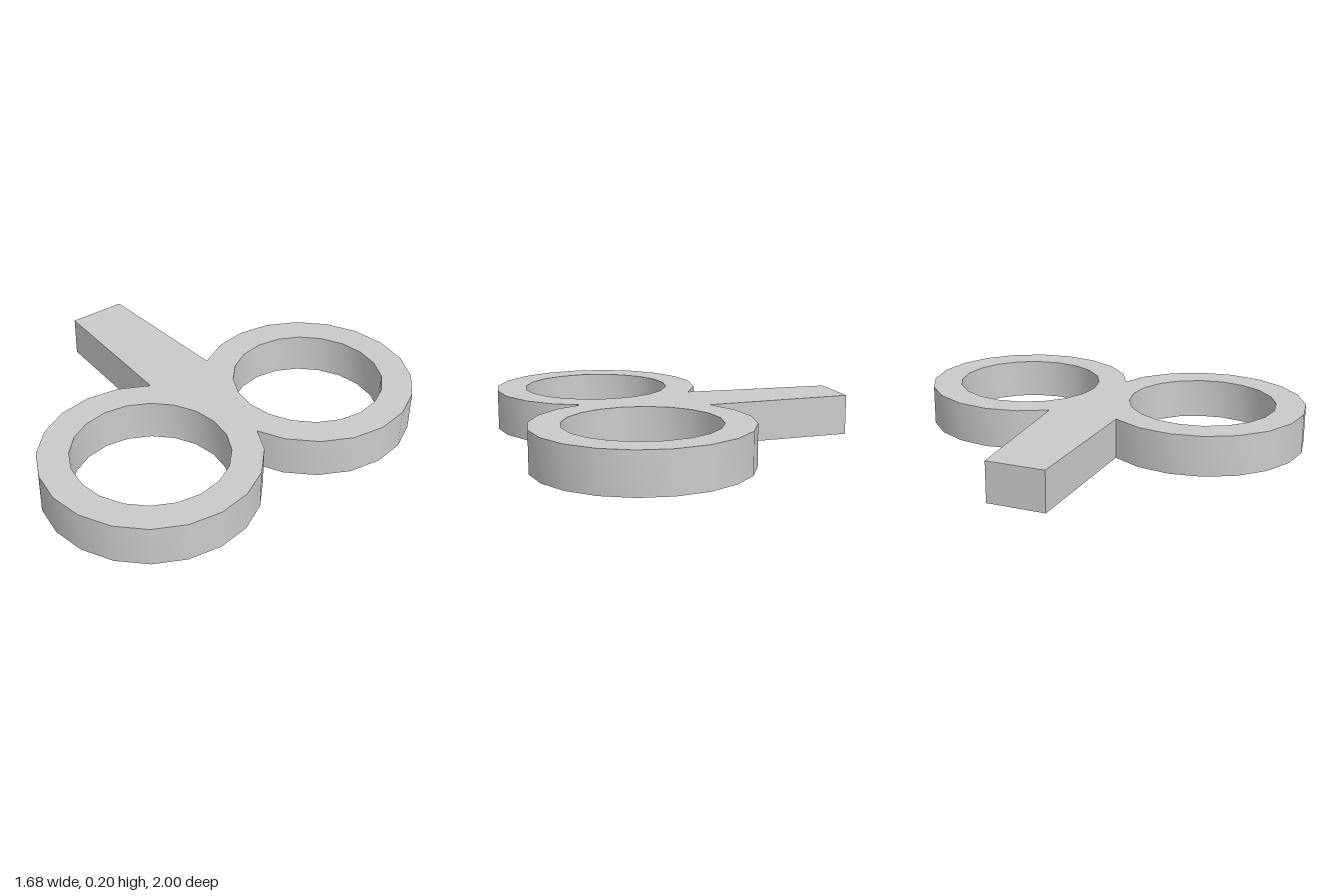
import * as THREE from 'three';
import { toCreasedNormals } from 'three/addons/utils/BufferGeometryUtils.js';

const SIDES = 20, HEIGHT = 0.2;
const CX = 0.32, CZ = 0.482;          // ring centres at (CX, +-CZ)
const OUTER = 0.518, INNER = 0.37;
const END_X = -0.838, END_HALF = 0.145; // tip of the handle

// Points of a ring polygon between two step indices
function arc(radius, cy, from, to) {
  const points = [];
  for (let i = from; i <= to; i++) {
    const a = (i / SIDES) * Math.PI * 2;
    points.push(new THREE.Vector2(CX + radius * Math.cos(a), cy + radius * Math.sin(a)));
  }
  return points;
}

export function createModel() {
  const group = new THREE.Group();
  group.name = 'twinRingKey';

  // Outline: handle, one ring, the notch between the rings, the mirrored ring
  const upper = arc(OUTER, CZ, -3, 12);
  const lower = upper.map(p => new THREE.Vector2(p.x, -p.y)).reverse();
  const shape = new THREE.Shape([
    new THREE.Vector2(END_X, -END_HALF),
    ...lower,
    new THREE.Vector2(0.5, 0),
    ...upper,
    new THREE.Vector2(END_X, END_HALF),
  ]);

  // Finger holes
  for (const side of [-1, 1]) {
    shape.holes.push(new THREE.Path(arc(INNER, side * CZ, 0, SIDES - 1).reverse()));
  }

  // One flat body with smooth ring walls and sharp rims
  let geometry = new THREE.ExtrudeGeometry(shape, { depth: HEIGHT, bevelEnabled: false });
  geometry.rotateX(-Math.PI / 2);
  geometry = toCreasedNormals(geometry, Math.PI / 7);

  const body = new THREE.Mesh(geometry, new THREE.MeshStandardMaterial({ color: 0xcccccc }));
  body.name = 'ringsAndHandle';
  group.add(body);
  return group;
}
